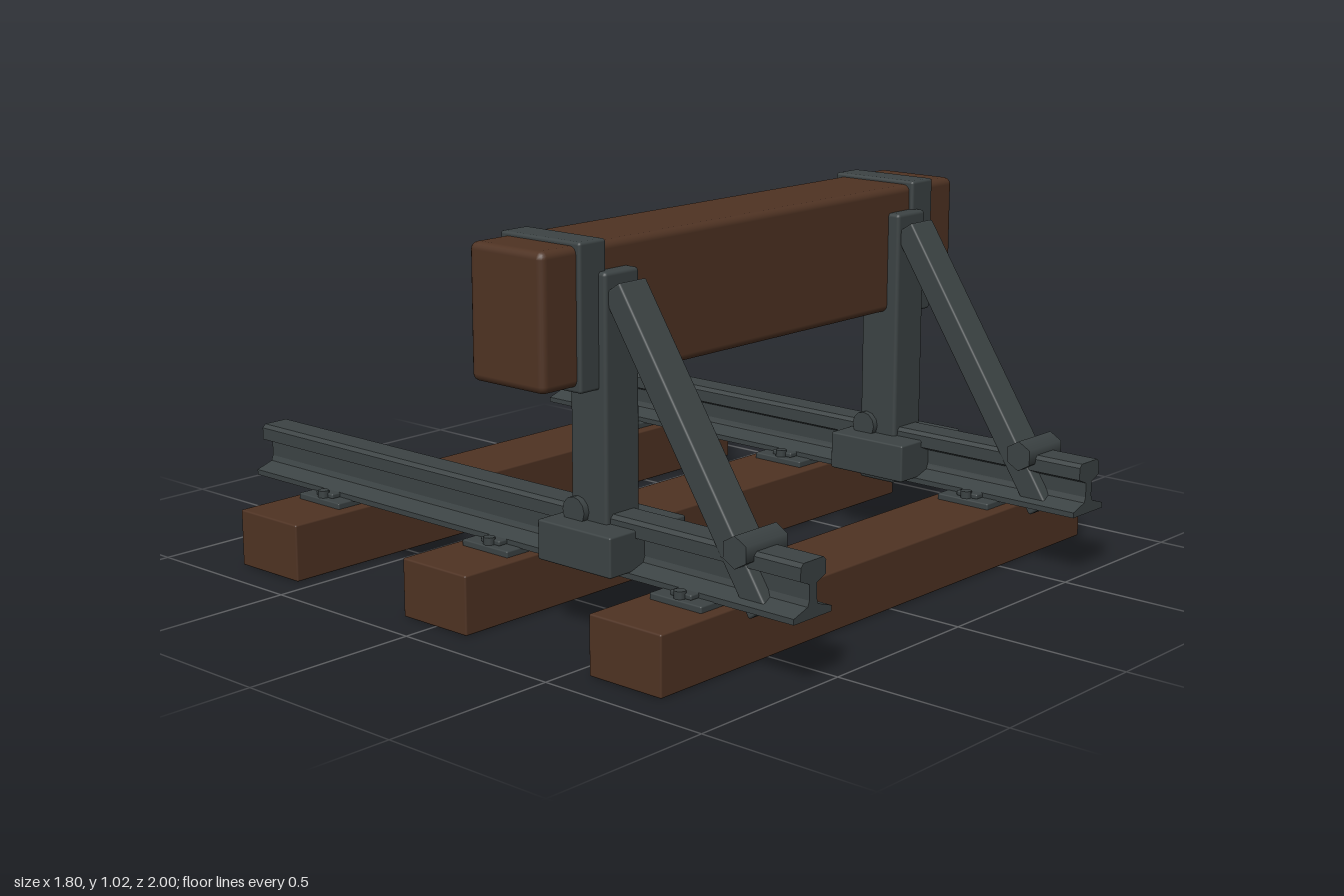
import * as THREE from 'three';
import { RoundedBoxGeometry } from 'three/addons/geometries/RoundedBoxGeometry.js';

export function createModel() {
  const model = new THREE.Group();
  model.name = 'railBufferStop';

  const wood = new THREE.MeshStandardMaterial({ color: 0x4f3323 });
  wood.name = 'brown timber';
  const steel = new THREE.MeshStandardMaterial({ color: 0x3c4344 });
  steel.name = 'dark steel';

  const add = (name, geometry, material, x, y, z, parent = model) => {
    const mesh = new THREE.Mesh(geometry, material);
    mesh.name = name;
    mesh.position.set(x, y, z);
    parent.add(mesh);
    return mesh;
  };
  const block = (w, h, d, r) => new RoundedBoxGeometry(w, h, d, 2, r);

  const sleeperZ = [0.667, -0.002, -0.67];
  const gauge = 0.6;

  // Timber sleepers and the buffer beam
  for (const z of sleeperZ) {
    add('sleeper', block(1.8, 0.16, 0.236, 0.005), wood, 0, 0.08, z);
  }
  add('bufferBeam', block(1.69, 0.355, 0.258, 0.02), wood, 0, 0.8325, 0.219);

  // Rail cross-section: one half, mirrored
  const half = [
    [0.072, 0.175], [0.072, 0.19], [0.02, 0.207], [0.014, 0.222],
    [0.014, 0.262], [0.048, 0.276], [0.048, 0.31], [0.038, 0.32],
  ];
  const outline = [...half, ...half.map(([x, y]) => [-x, y]).reverse()];
  const railGeometry = new THREE.ExtrudeGeometry(
    new THREE.Shape(outline.map(([x, y]) => new THREE.Vector2(x, y))),
    { depth: 2, bevelEnabled: false },
  );

  const plateGeometry = block(0.24, 0.02, 0.17, 0.004);
  const clipGeometry = block(0.05, 0.014, 0.07, 0.004);
  const spikeGeometry = new THREE.CylinderGeometry(0.016, 0.016, 0.03, 8);
  const boltGeometry = new THREE.CylinderGeometry(0.018, 0.018, 0.03, 8).rotateX(Math.PI / 2);

  // Diagonal brace runs from the rail up to the post
  const foot = new THREE.Vector2(0.87, 0.166);
  const head = new THREE.Vector2(0.39, 0.9);
  const braceLength = foot.distanceTo(head);
  const braceTilt = Math.atan2(head.x - foot.x, head.y - foot.y);

  for (const side of [1, -1]) {
    const track = new THREE.Group();
    track.name = side > 0 ? 'leftTrackSide' : 'rightTrackSide';
    track.position.x = side * gauge;
    model.add(track);

    add('rail', railGeometry, steel, 0, 0, -1, track);

    // Tie plates with spikes
    for (const z of sleeperZ) {
      add('tiePlate', plateGeometry, steel, 0, 0.167, z, track);
      for (const s of [1, -1]) {
        add('railClip', clipGeometry, steel, s * 0.075, 0.183, z, track);
        add('spike', spikeGeometry, steel, s * 0.102, 0.182, z, track);
      }
    }

    // Post, clamp and pivot pin
    add('post', block(0.124, 0.785, 0.125, 0.01), steel, 0, 0.5475, 0.322, track);
    add('clamp', block(0.28, 0.106, 0.254, 0.005), steel, 0, 0.243, 0.343, track);
    add('postPin', new THREE.CylinderGeometry(0.038, 0.038, 0.16, 12).rotateZ(Math.PI / 2),
      steel, 0, 0.317, 0.285, track);

    // Brace and its hexagonal anchor
    const brace = add('brace', block(0.1, braceLength, 0.068, 0.006), steel,
      0, (foot.y + head.y) / 2, (foot.x + head.x) / 2, track);
    brace.rotation.x = braceTilt;
    add('braceAnchor', new THREE.CylinderGeometry(0.042, 0.042, 0.156, 6).rotateZ(Math.PI / 2)
      .rotateX(Math.PI / 6), steel, 0, 0.318, 0.82, track);

    // Strap around the beam, bolted at the back
    const strapX = side * 0.08;
    add('strap', block(0.094, 0.38, 0.278, 0.008), steel, strapX, 0.831, 0.222, track);
    for (const y of [0.9, 0.762]) {
      add('strapBolt', boltGeometry, steel, strapX, y, 0.076, track);
    }
  }
  return model;
}
